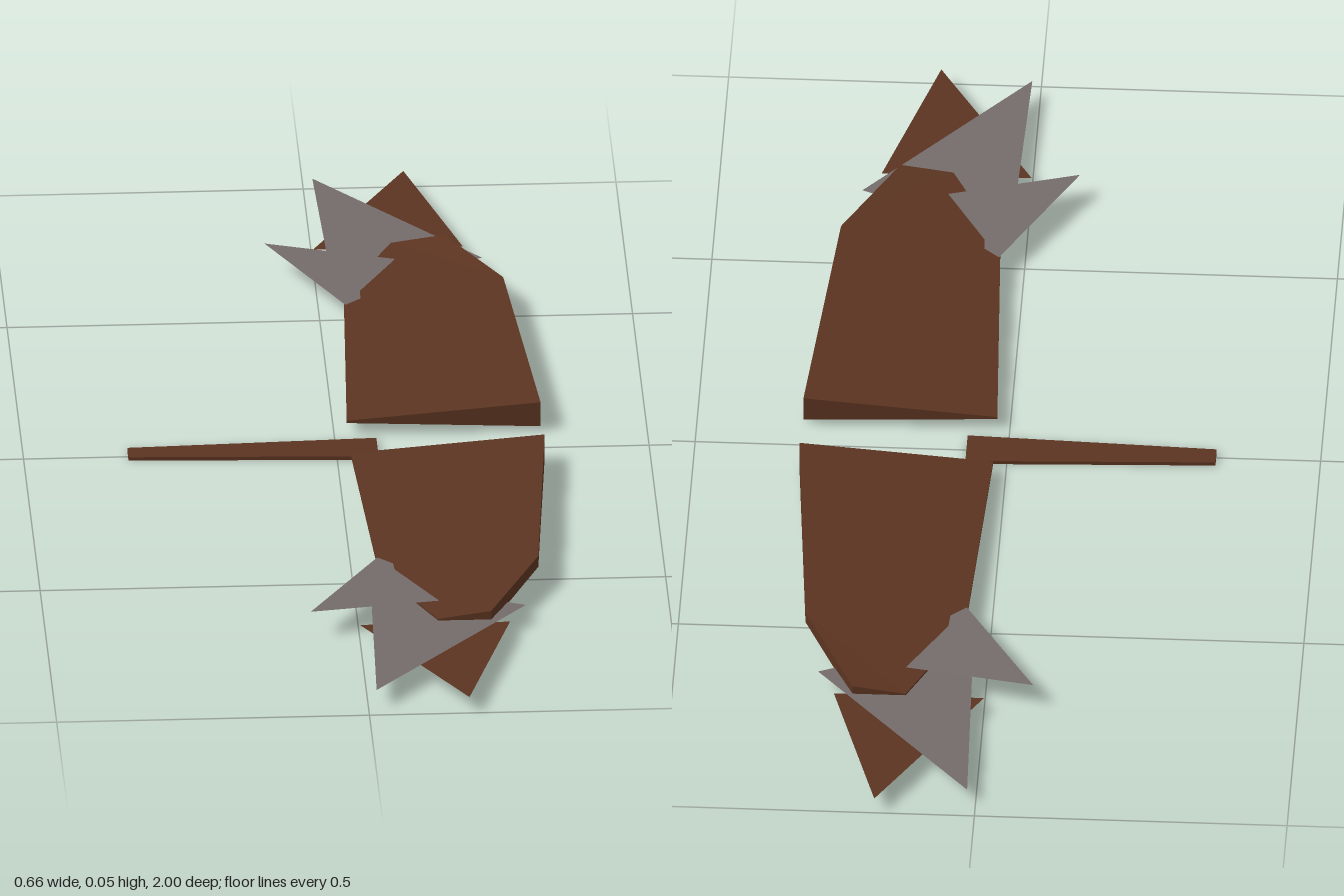
import * as THREE from 'three';

const brown = new THREE.MeshStandardMaterial({ color: 0x5c3421, flatShading: true, side: THREE.DoubleSide });
brown.name = 'brown plumage';
const grey = new THREE.MeshStandardMaterial({ color: 0x746c6a, flatShading: true, side: THREE.DoubleSide });
grey.name = 'grey feathers';

function mesh(name, geometry, material) {
  const m = new THREE.Mesh(geometry, material);
  m.name = name;
  return m;
}

// Flat-shaded geometry from a list of corner triples
function fromCorners(corners) {
  const g = new THREE.BufferGeometry();
  g.setAttribute('position', new THREE.Float32BufferAttribute(corners.flat(), 3));
  g.computeVertexNormals();
  return g;
}

// Joins four-sided rings into a closed solid; flip reverses the winding for the mirrored side
function loft(rings, flip) {
  const out = [];
  const quad = (a, b, c, d) => out.push(...(flip ? [a, c, b, a, d, c] : [a, b, c, a, c, d]));
  for (let i = 0; i < rings.length - 1; i++) {
    for (let j = 0; j < 4; j++) {
      const k = (j + 1) % 4;
      quad(rings[i][j], rings[i][k], rings[i + 1][k], rings[i + 1][j]);
    }
  }
  const first = rings[0], last = rings[rings.length - 1];
  quad(first[3], first[2], first[1], first[0]);
  quad(last[0], last[1], last[2], last[3]);
  return fromCorners(out);
}

// Wing sections: z, trailing x / bottom / top, leading x / bottom / top
const wingSections = [
  [0.061, 0.02, 0.021, 0.025, 0.33, 0.008, 0.05],
  [0.53, 0.04, 0.03, 0.034, 0.295, 0.035, 0.054],
  [0.715, 0.125, 0.025, 0.033, 0.21, 0.023, 0.045],
];

// Each feather is one thin triangle
const feathers = [
  ['tipFeather', brown, [[0.16, 0.028, 1], [0.24, 0.026, 0.713], [0, 0.026, 0.713]]],
  ['longFeather', grey, [[0.013, 0.031, 0.972], [0.268, 0.03, 0.66], [0.025, 0.03, 0.55]]],
  ['rearFeather', grey, [[-0.078, 0.045, 0.7], [0.2, 0.033, 0.632], [0.04, 0.036, 0.48]]],
];

function createWing(side) {
  const wing = new THREE.Group();
  wing.name = side > 0 ? 'frontWing' : 'backWing';
  const rings = wingSections.map(([z, tx, tb, tt, lx, lb, lt]) => {
    const sz = side * z - 0.003;
    return [[tx, tb, sz], [lx, lb, sz], [lx, lt, sz], [tx, tt, sz]];
  });
  wing.add(mesh('wingPanel', loft(rings, side < 0), brown));
  for (const [name, material, points] of feathers) {
    const corners = points.map(([x, y, z]) => [x, y, side * z]);
    if (side < 0) corners.reverse();
    wing.add(mesh(name, fromCorners(corners), material));
  }
  return wing;
}

// Flat tail, narrowing toward its end
function createTail() {
  const ring = (x, w) => [[x, 0, -w - 0.003], [x, 0.006, -w - 0.003], [x, 0.006, w - 0.003], [x, 0, w - 0.003]];
  return mesh('tail', loft([ring(-0.333, 0.018), ring(0.066, 0.035)], true), brown);
}

export function createModel() {
  const model = new THREE.Group();
  model.name = 'wingsAndTail';
  model.add(createWing(1), createWing(-1), createTail());
  return model;
}
